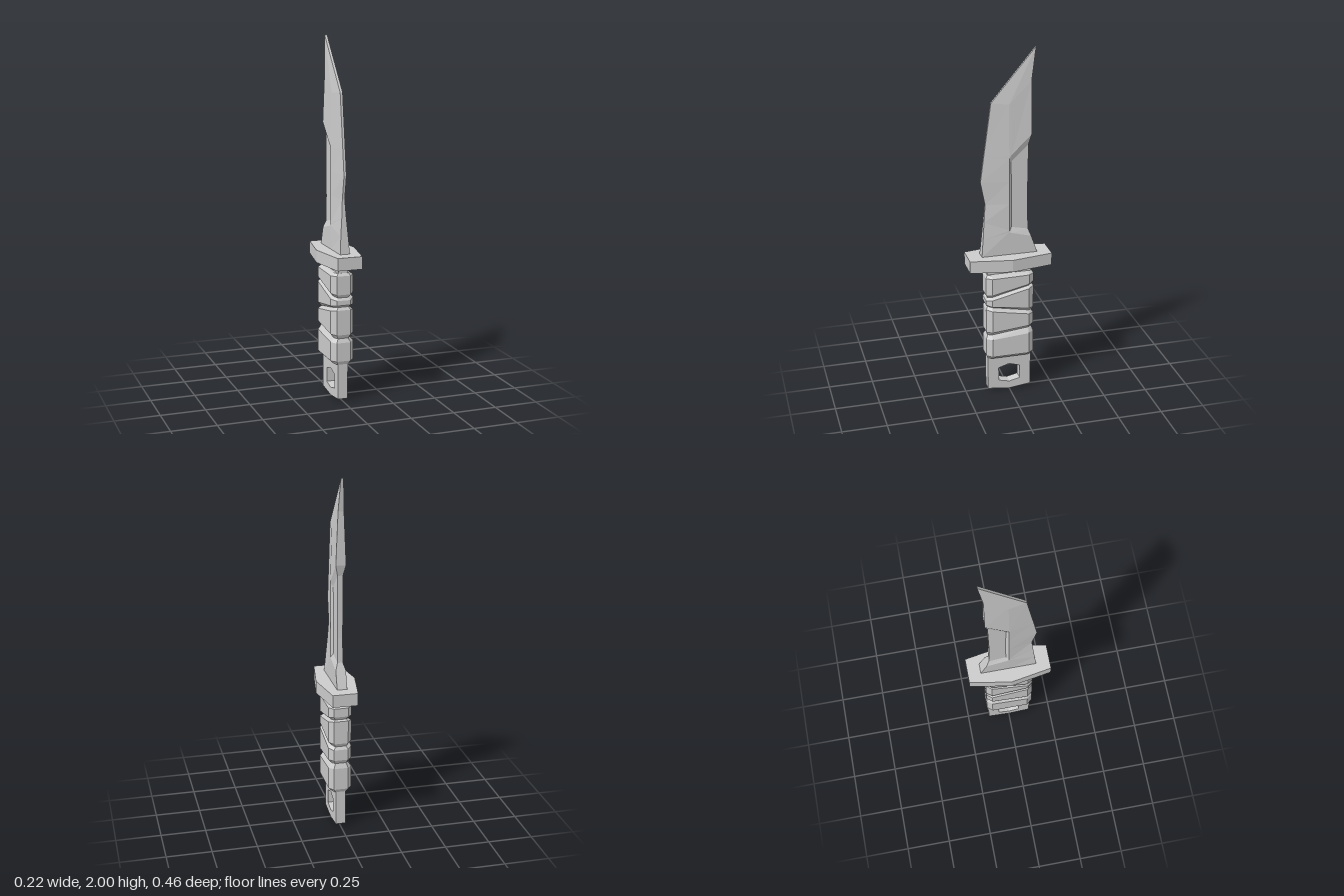
import * as THREE from 'three';

const material = new THREE.MeshStandardMaterial({ color: 0xcccccc, flatShading: true, side: THREE.DoubleSide });

function part(name, geometry) {
  const mesh = new THREE.Mesh(geometry, material);
  mesh.name = name;
  return mesh;
}

// Skin rings of [x, y, z] points, listed from the bottom up, and cap both ends.
function loft(rings) {
  const pos = [];
  const tri = (...points) => {
    const [a, b, c] = points.map((p) => new THREE.Vector3(...p));
    if (b.clone().sub(a).cross(c.clone().sub(a)).length() > 1e-9) points.forEach((p) => pos.push(...p));
  };
  const n = rings[0].length;
  for (let i = 0; i < rings.length - 1; i++) {
    for (let j = 0; j < n; j++) {
      const k = (j + 1) % n;
      const [a, b, c, d] = [rings[i][j], rings[i][k], rings[i + 1][k], rings[i + 1][j]];
      tri(a, b, c);
      tri(a, c, d);
    }
  }
  const bottom = rings[0], top = rings[rings.length - 1];
  for (let j = 1; j < n - 1; j++) {
    tri(bottom[0], bottom[j + 1], bottom[j]);
    tri(top[0], top[j], top[j + 1]);
  }
  const geometry = new THREE.BufferGeometry();
  geometry.setAttribute('position', new THREE.Float32BufferAttribute(pos, 3));
  geometry.computeVertexNormals();
  return geometry;
}

// Complete a half ring (front to back on +x) with its mirror image.
const mirrorRing = (half) => [...half, ...half.map(([x, y, z]) => [-x, y, z]).reverse()];

const toShape = (points) => new THREE.Shape(points.map(([x, y]) => new THREE.Vector2(x, y)));

// Blade: every row runs cutting edge, shoulder, step, spine as [halfThickness, y, z].
function createBlade() {
  const e = 0.007, t = 0.028, r = 0.015;
  const tip = [e, 2, -0.15];
  const rows = [
    [[t, 0.84, 0.155], [t, 0.84, 0], [t, 0.84, -0.015], [t, 0.84, -0.16]],
    [[0.021, 0.94, 0.146], [t, 0.975, 0], [t, 0.97, -0.012], [t, 0.94, -0.125]],
    [[0.013, 1.04, 0.138], [t, 0.985, 0], [r, 1, -0.015], [r, 0.98, -0.11]],
    [[e, 1.14, 0.13], [t, 1.14, 0], [r, 1.13, -0.015], [r, 1.12, -0.105]],
    [[e, 1.27, 0.155], [t, 1.27, 0], [r, 1.27, -0.015], [r, 1.27, -0.107]],
    [[e, 1.42, 0.135], [t, 1.4, 0], [r, 1.38, -0.013], [r, 1.47, -0.11]],
    [[e, 1.47, 0.128], [t, 1.41, 0], [t, 1.42, -0.012], [t, 1.53, -0.125]],
    [[e, 1.71, 0.095], [0.02, 1.7, 0], [0.02, 1.71, -0.012], [0.016, 1.82, -0.125]],
    [tip, tip, tip, tip],
  ];
  return part('blade', loft(rows.map(mirrorRing)));
}

// Grip: slanted bands with bevelled grooves, as [front y, back y, raised].
function createGrip() {
  const levels = [
    [0.215, 0.215, 0], [0.235, 0.235, 1], [0.34, 0.362, 1],
    [0.362, 0.392, 0], [0.385, 0.412, 1], [0.525, 0.475, 1],
    [0.543, 0.49, 0], [0.553, 0.512, 1], [0.58, 0.645, 1],
    [0.592, 0.656, 0], [0.612, 0.672, 1], [0.717, 0.722, 1],
    [0.732, 0.732, 0],
  ];
  const raised = [[0.04, 0.136], [0.065, 0.105], [0.065, -0.105], [0.04, -0.136]];
  const sunk = [[0.03, 0.126], [0.045, 0.105], [0.045, -0.105], [0.03, -0.126]];
  const rings = levels.map(([front, back, out]) => mirrorRing(
    (out ? raised : sunk).map(([x, z]) => [x, THREE.MathUtils.lerp(back, front, z / 0.272 + 0.5), z])));
  return part('grip', loft(rings));
}

// Tang: flat bar through the grip with a six-sided lanyard hole.
function createTang() {
  const shape = toShape([[-0.125, 0.015], [0, 0], [0.125, 0.015], [0.125, 0.78], [-0.125, 0.78]]);
  shape.holes.push(toShape([[0, 0.16], [0.062, 0.14], [0.062, 0.06], [0, 0.045], [-0.062, 0.06], [-0.062, 0.14]]));
  const geometry = new THREE.ExtrudeGeometry(shape, { depth: 0.056, bevelEnabled: false });
  geometry.translate(0, 0, -0.028).rotateY(-Math.PI / 2);
  return part('tang', geometry);
}

// Guard: long hexagonal plate.
function createGuard() {
  const shape = toShape([[0.11, 0], [0.07, 0.232], [-0.07, 0.232], [-0.11, 0], [-0.07, -0.232], [0.07, -0.232]]);
  const geometry = new THREE.ExtrudeGeometry(shape, { depth: 0.07, bevelEnabled: false });
  geometry.rotateX(-Math.PI / 2).translate(0, 0.772, 0);
  return part('guard', geometry);
}

export function createModel() {
  const model = new THREE.Group();
  model.name = 'knife';
  model.add(createBlade(), createGuard(), createGrip(), createTang());
  return model;
}
